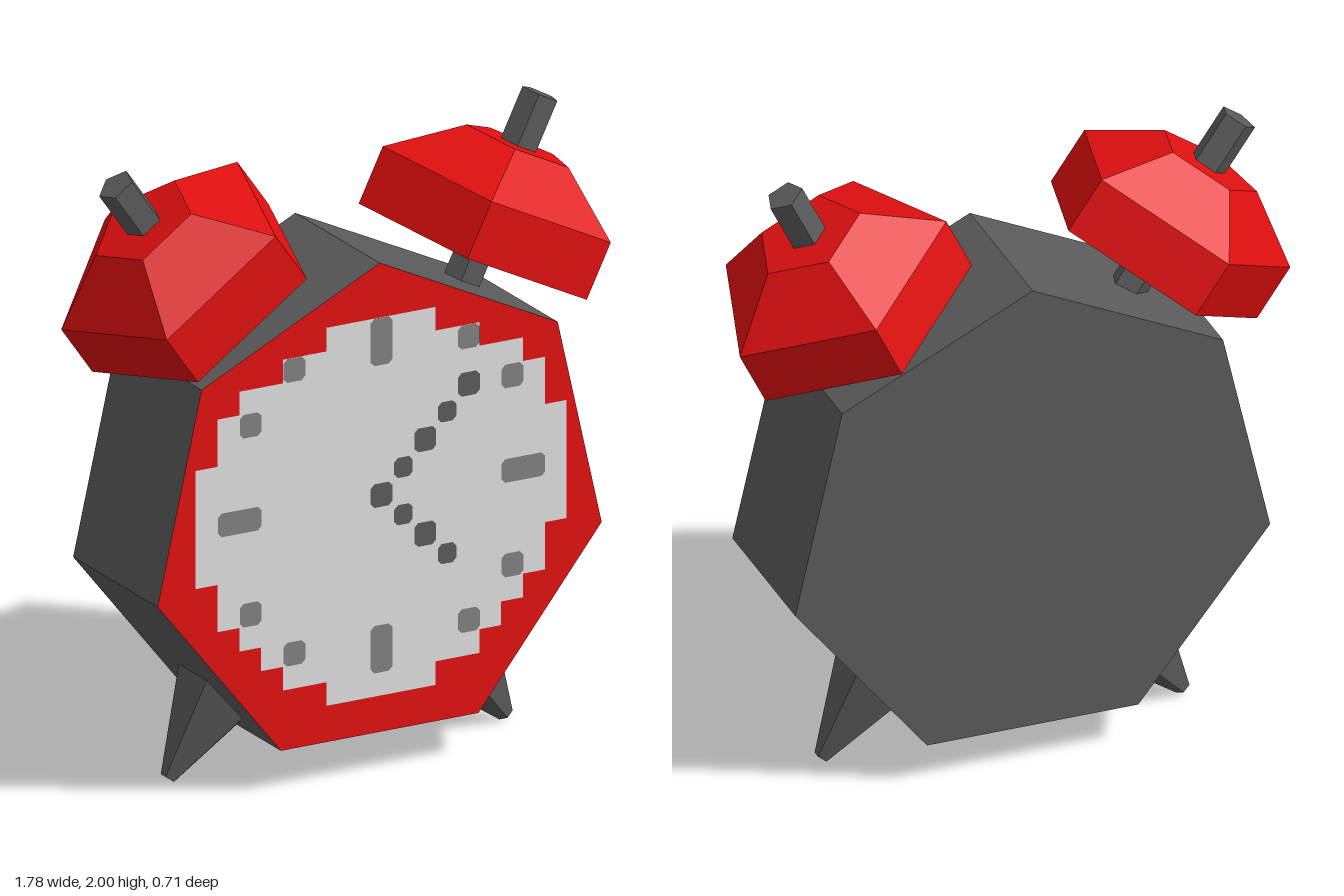
import * as THREE from 'three';

const red = new THREE.MeshStandardMaterial({ color: 0xe00f0f, side: THREE.DoubleSide });
red.name = 'bell red';
const grey = new THREE.MeshStandardMaterial({ color: 0x5a5a5a });
grey.name = 'dark grey';
const pale = new THREE.MeshStandardMaterial({ color: 0xdedede });
pale.name = 'dial pale grey';
const mid = new THREE.MeshStandardMaterial({ color: 0x808080 });
mid.name = 'mark grey';

const DEPTH_MID = 0.037; // z of the clock's middle plane
const FRONT = 0.295; // z of the red front
const CELL = 0.0756; // dial grid pitch
const DIAL_Y = 0.9;

// Faceted look: split the faces and give each its own normal
function faceted(geometry) {
  const g = geometry.toNonIndexed();
  g.computeVertexNormals();
  return g;
}

function add(parent, name, geometry, material) {
  const mesh = new THREE.Mesh(geometry, material);
  mesh.name = name;
  parent.add(mesh);
  return mesh;
}

// Stepped dial plate: [row top, half width] in grid cells, from top to bottom
function dialShape() {
  const steps = [[7.5, 2.5], [6.5, 4.5], [5.5, 6.5], [4.5, 7.5], [2.5, 8.5],
    [-2.5, 7.5], [-4.5, 6.5], [-5.5, 5.5], [-6.5, 4.5], [-7.5, 2.5]];
  const right = [];
  steps.forEach(([y, w], i) => {
    const below = i + 1 < steps.length ? steps[i + 1][0] : -8.5;
    right.push([w, y], [w, below]);
  });
  const left = right.map(([x, y]) => [-x, y]).reverse();
  return new THREE.Shape([...right, ...left].map(([x, y]) => new THREE.Vector2(x * CELL, y * CELL)));
}

// Rectangle with clipped corners, centred on a grid position
function mark(parent, name, cx, cy, w, h, material) {
  const a = (w * CELL) / 2, b = (h * CELL) / 2, c = 0.013;
  const corners = [[a, b - c], [a - c, b], [c - a, b], [-a, b - c],
    [-a, c - b], [c - a, -b], [a - c, -b], [a, c - b]];
  const shape = new THREE.Shape(corners.map(([x, y]) => new THREE.Vector2(x, y)));
  const m = add(parent, name, new THREE.ShapeGeometry(shape), material);
  m.position.set(cx * CELL, cy * CELL, 0.003);
}

function buildDial() {
  const dial = new THREE.Group();
  dial.name = 'dial';
  dial.position.set(0, DIAL_Y, FRONT + 0.003);
  add(dial, 'dialPlate', new THREE.ShapeGeometry(dialShape()), pale);
  // Hour marks
  mark(dial, 'hourMark', 0, 6.5, 1, 2, mid);
  mark(dial, 'hourMark', 0, -6.5, 1, 2, mid);
  for (const s of [-1, 1]) {
    mark(dial, 'hourMark', s * 6.5, 0, 2, 1, mid);
    for (const [x, y] of [[4, 6], [6, 4], [6, -4], [4, -6]]) {
      mark(dial, 'hourMark', s * x, y, 1, 1, mid);
    }
  }
  // Diagonal hands made of squares
  mark(dial, 'handHub', 0, 0, 1, 1, grey);
  for (let i = 1; i <= 4; i++) {
    const size = i % 2 ? 0.85 : 1;
    mark(dial, 'longHand', i, i, size, size, grey);
    if (i < 4) mark(dial, 'shortHand', i, -i, size, size, grey);
  }
  return dial;
}

// Hollow five-sided bell on a post; the origin is the middle of its rim
function buildBell(name, x, y, tilt) {
  const bell = new THREE.Group();
  bell.name = name;
  const profile = [[0.392, 0], [0.392, 0.188], [0.175, 0.341], [0, 0.341]]
    .map(([r, h]) => new THREE.Vector2(r, h));
  add(bell, 'bellDome', faceted(new THREE.LatheGeometry(profile, 5, Math.PI)), red);
  const post = new THREE.CylinderGeometry(0.06, 0.06, 0.71, 5, 1, false, Math.PI);
  add(bell, 'bellPost', faceted(post), grey).position.y = 0.155;
  bell.position.set(x, y, DEPTH_MID);
  bell.rotation.z = tilt;
  return bell;
}

// Five-sided leg tapering to its foot, flat side outwards
function buildLeg(name, side, footX) {
  const length = 0.36, lean = 0.617;
  const geometry = new THREE.CylinderGeometry(0.163, 0.0254, length, 5, 1, false, -side * Math.PI / 2);
  geometry.translate(0, length / 2, 0);
  const leg = new THREE.Mesh(faceted(geometry), grey);
  leg.name = name;
  leg.position.set(footX, 0.015, DEPTH_MID);
  leg.rotation.z = side * lean;
  return leg;
}

export function createModel() {
  const clock = new THREE.Group();
  clock.name = 'alarmClock';

  // Seven-sided case with a red front
  const caseGeometry = new THREE.CylinderGeometry(0.789, 0.789, 0.515, 7, 1, false, Math.PI);
  caseGeometry.rotateX(Math.PI / 2);
  const body = add(clock, 'case', faceted(caseGeometry), [grey, red, grey]);
  body.position.set(-0.003, 0.851, DEPTH_MID);

  clock.add(buildDial());
  clock.add(buildBell('rightBell', -0.478, 1.527, 0.612));
  clock.add(buildBell('leftBell', 0.474, 1.522, -0.459));
  clock.add(buildLeg('rightLeg', -1, -0.59));
  clock.add(buildLeg('leftLeg', 1, 0.579));
  return clock;
}
